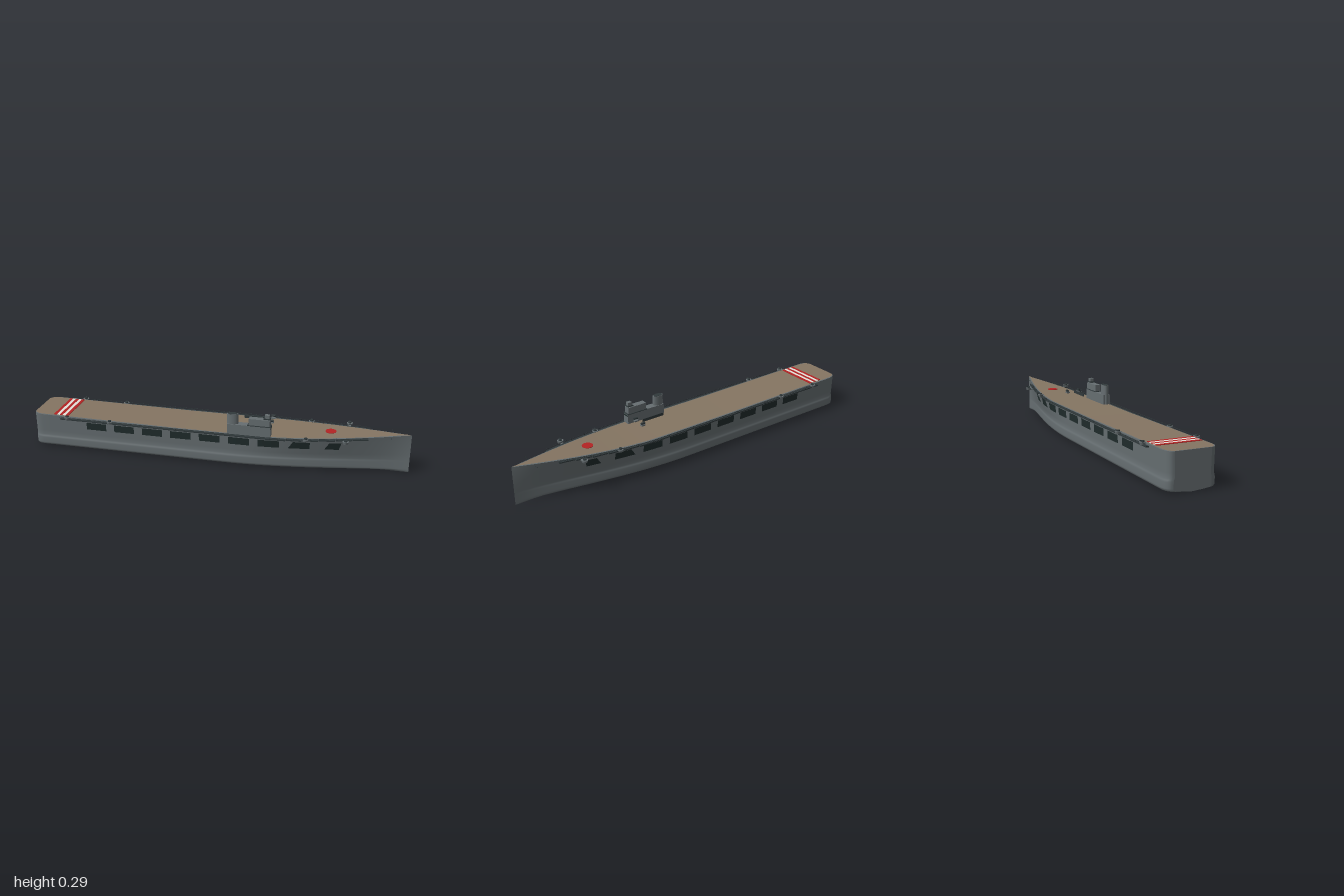
import * as THREE from 'three';

const mat = (name, color, side = THREE.FrontSide) => {
  const m = new THREE.MeshStandardMaterial({ color, side });
  m.name = name;
  return m;
};

const clamp = (v) => Math.min(1, Math.max(0, v));

// hull form: sheer line, deck plan, waterline plan
const sheer = (x) => 0.18 + 0.008 * clamp((-0.2 - x) / 0.8) + 0.03 * clamp((x - 0.3) / 0.7) ** 1.4;
const stern = (x) => 1 - 0.28 * (1 - Math.sqrt(1 - clamp((-0.95 - x) / 0.05) ** 2));
const deckHalf = (x) => 0.127 * stern(x) * (1 - clamp((x - 0.25) / 0.75) ** 1.7);
const lowHalf = (x) => 0.13 * stern(x) * (1 - clamp((x - 0.05) / 0.95) ** 2) ** 1.6;
// half-width of the topsides, between the bulge and the deck edge
const sideHalf = (x, y) => {
  const t = clamp((y - 0.07) / (sheer(x) - 0.07));
  return lowHalf(x) * 0.95 * (1 - t) + deckHalf(x) * t;
};

const stations = [-1, -0.9985, -0.995, -0.988, -0.975, -0.95];
for (let i = 1; i <= 39; i++) stations.push(-0.95 + i * 0.05);

// surface grid from a rule p(i, j) -> [x, y, z]
function grid(nu, nv, p) {
  const pos = [], idx = [];
  for (let i = 0; i <= nu; i++) for (let j = 0; j <= nv; j++) pos.push(...p(i, j));
  for (let i = 0; i < nu; i++) for (let j = 0; j < nv; j++) {
    const a = i * (nv + 1) + j, b = a + nv + 1;
    idx.push(a, a + 1, b, b, a + 1, b + 1);
  }
  const g = new THREE.BufferGeometry();
  g.setAttribute('position', new THREE.Float32BufferAttribute(pos, 3));
  g.setIndex(idx);
  g.computeVertexNormals();
  return g;
}

// one side of a cross-section, deck edge down to keel: [half-width, height]
function section(x) {
  const w = lowHalf(x), top = sheer(x), pts = [];
  for (let k = 0; k <= 5; k++) {
    const y = top + (0.07 - top) * k / 5;
    pts.push([sideHalf(x, y), y]);
  }
  return pts.concat([[w * 0.985, 0.062], [w, 0.053], [w, 0.025], [w * 0.99, 0.017], [w * 0.94, 0.012], [w * 0.6, 0.008], [0, 0.003]]);
}

export function createModel() {
  const model = new THREE.Group();
  model.name = 'flatTopShip';
  const grey = mat('hullGrey', 0x666e71);
  const brown = mat('deckBrown', 0x857562);
  const dark = mat('galleryDark', 0x30393b);
  const opening = mat('openingDark', 0x1f2b2b, THREE.DoubleSide);
  const red = mat('markingRed', 0xb32424);
  const white = mat('markingWhite', 0xe4dfd8);

  const add = (name, geo, m, x = 0, y = 0, z = 0, parent = model) => {
    const mesh = new THREE.Mesh(geo, m);
    mesh.name = name;
    mesh.position.set(x, y, z);
    parent.add(mesh);
    return mesh;
  };
  const box = (name, m, x0, x1, y0, y1, z0, z1, parent) =>
    add(name, new THREE.BoxGeometry(x1 - x0, y1 - y0, z1 - z0), m, (x0 + x1) / 2, (y0 + y1) / 2, (z0 + z1) / 2, parent);
  const rod = (name, m, a, b, r, parent = model) => {
    const p = new THREE.Vector3(...a), d = new THREE.Vector3(...b).sub(p);
    const mesh = add(name, new THREE.CylinderGeometry(r, r, d.length(), 6), m, 0, 0, 0, parent);
    mesh.position.copy(p).addScaledVector(d, 0.5);
    mesh.quaternion.setFromUnitVectors(new THREE.Vector3(0, 1, 0), d.normalize());
    return mesh;
  };

  // hull shell and transom
  const n = 12, last = stations.length - 1;
  add('hull', grid(last, 2 * n, (i, j) => {
    const s = section(stations[i])[j <= n ? j : 2 * n - j];
    return [stations[i], s[1], j <= n ? s[0] : -s[0]];
  }), grey);
  add('transom', grid(n, 1, (i, j) => {
    const s = section(-1)[i];
    return [-1, s[1], j ? -s[0] : s[0]];
  }), grey);

  // deck margin and planked flight deck
  const deckStrip = (inset, dy) => grid(last, 1, (i, j) => {
    const x = stations[i], w = Math.max(0, deckHalf(x) - inset);
    return [x, sheer(x) + dy, j ? w : -w];
  });
  add('deckMargin', deckStrip(0, 0), grey);
  add('flightDeck', deckStrip(0.006, 0.0015), brown);

  // striped landing marking at the stern, and red disc near the bow
  for (let i = 0; i < 5; i++) {
    const x = -0.877 + i * 0.0168;
    box('deckStripe', i % 2 ? white : red, x - 0.0084, x + 0.0084, sheer(x), sheer(x) + 0.004, -0.115, 0.115);
  }
  add('deckDisc', new THREE.CylinderGeometry(0.028, 0.028, 0.006, 24), red, 0.595, sheer(0.595) + 0.001, 0);

  // island with funnel
  const island = new THREE.Group();
  island.name = 'island';
  model.add(island);
  box('islandBase', grey, 0.075, 0.3, 0.17, 0.234, 0.088, 0.127, island);
  box('bridge', grey, 0.185, 0.295, 0.234, 0.271, 0.091, 0.124, island);
  box('bridgeTop', grey, 0.268, 0.292, 0.271, 0.296, 0.098, 0.118, island);
  box('rangefinder', dark, 0.262, 0.296, 0.274, 0.279, 0.093, 0.123, island);
  box('bridgeWindows', opening, 0.294, 0.301, 0.222, 0.229, 0.091, 0.124, island);
  box('bridgeWalkway', dark, 0.18, 0.302, 0.234, 0.237, 0.086, 0.129, island);
  const funnel = add('funnel', new THREE.CylinderGeometry(0.03, 0.03, 0.11, 20), grey, 0.1, 0.231, 0.107, island);
  funnel.scale.z = 0.58;
  const mouth = add('funnelMouth', new THREE.CylinderGeometry(0.026, 0.026, 0.003, 20), dark, 0.1, 0.286, 0.107, island);
  mouth.scale.z = 0.58;

  // raised fittings beside the island
  box('centreScreen', dark, 0.14, 0.27, 0.222, 0.237, -0.001, 0.001);
  for (const s of [1, -1]) {
    box('directorBase', grey, 0.278, 0.3, 0.22, 0.227, s * 0.03 - 0.009, s * 0.03 + 0.009);
    rod('directorDrum', dark, [0.278, 0.234, s * 0.034], [0.3, 0.234, s * 0.034], 0.006);
  }

  for (const s of [1, -1]) {
    const side = new THREE.Group();
    side.name = s > 0 ? 'frontSideFittings' : 'backSideFittings';
    model.add(side);

    // hangar openings that follow the hull side
    for (let k = 0; k < 9; k++) {
      const x0 = k < 8 ? -0.695 + k * 0.155 : 0.572, len = k < 8 ? 0.11 : 0.085;
      const lean = k > 6 ? 0.025 : 0;
      add('hangarOpening', grid(6, 1, (i, j) => {
        const y = j ? 0.163 : 0.124;
        const start = x0 + (j ? lean : 0), end = x0 + len - (j || k < 8 ? 0 : 0.012);
        const x = start + (end - start) * i / 6;
        return [x, y, s * (sideHalf(x, y) + 0.003)];
      }), opening, 0, 0, 0, side);
    }

    // long side gallery, then stepped galleries toward the bow
    const gallery = (x0, x1) => {
      const m = (x0 + x1) / 2, z = deckHalf(m) + 0.006, y = sheer(m);
      const g = new THREE.Group();
      g.name = 'gallery';
      g.position.set(m, y, s * z);
      g.rotation.y = s * Math.atan((deckHalf(x0) - deckHalf(x1)) / (x1 - x0)) * 0.85;
      side.add(g);
      const h = (x1 - x0) / 2;
      box('walkway', dark, -h, h, -0.008, -0.002, -0.009, 0.009, g);
      box('handrail', dark, -h, h, 0.004, 0.0055, s * 0.0085 - 0.0007, s * 0.0085 + 0.0007, g);
      const count = Math.max(1, Math.round(h * 2 / 0.05));
      for (let i = 0; i <= count; i++) {
        const x = -h + 2 * h * i / count;
        box('railPost', dark, x - 0.0007, x + 0.0007, -0.003, 0.005, s * 0.0085 - 0.0007, s * 0.0085 + 0.0007, g);
      }
    };
    gallery(-0.84, 0.3);
    for (let i = 0; i < 6; i++) gallery(0.3 + i * 0.082, 0.378 + i * 0.082);

    // gun tubs with twin barrels
    for (const x of [-0.8, -0.56, 0.48, 0.68]) {
      const z = s * (deckHalf(x) + (x > 0.6 ? 0.043 : 0.01)), y = sheer(x);
      add('gunTub', new THREE.CylinderGeometry(0.016, 0.013, 0.012, 14), grey, x, y - 0.003, z, side);
      add('gunMount', new THREE.CylinderGeometry(0.008, 0.009, 0.008, 10), dark, x, y + 0.006, z, side);
      for (const d of [-0.004, 0.004]) rod('gunBarrel', dark, [x + d, y + 0.008, z], [x + d, y + 0.011, z + s * 0.015], 0.0012, side);
      if (x > 0.6) box('tubSupport', grey, x - 0.008, x + 0.008, y - 0.01, y - 0.005, Math.min(z, z - s * 0.045), Math.max(z, z - s * 0.045), side);
    }

    // thin whisker boom near the bow
    rod('bowBoom', dark, [0.9, 0.2, s * 0.02], [0.9, 0.204, s * 0.065], 0.001, side);
  }
  return model;
}
